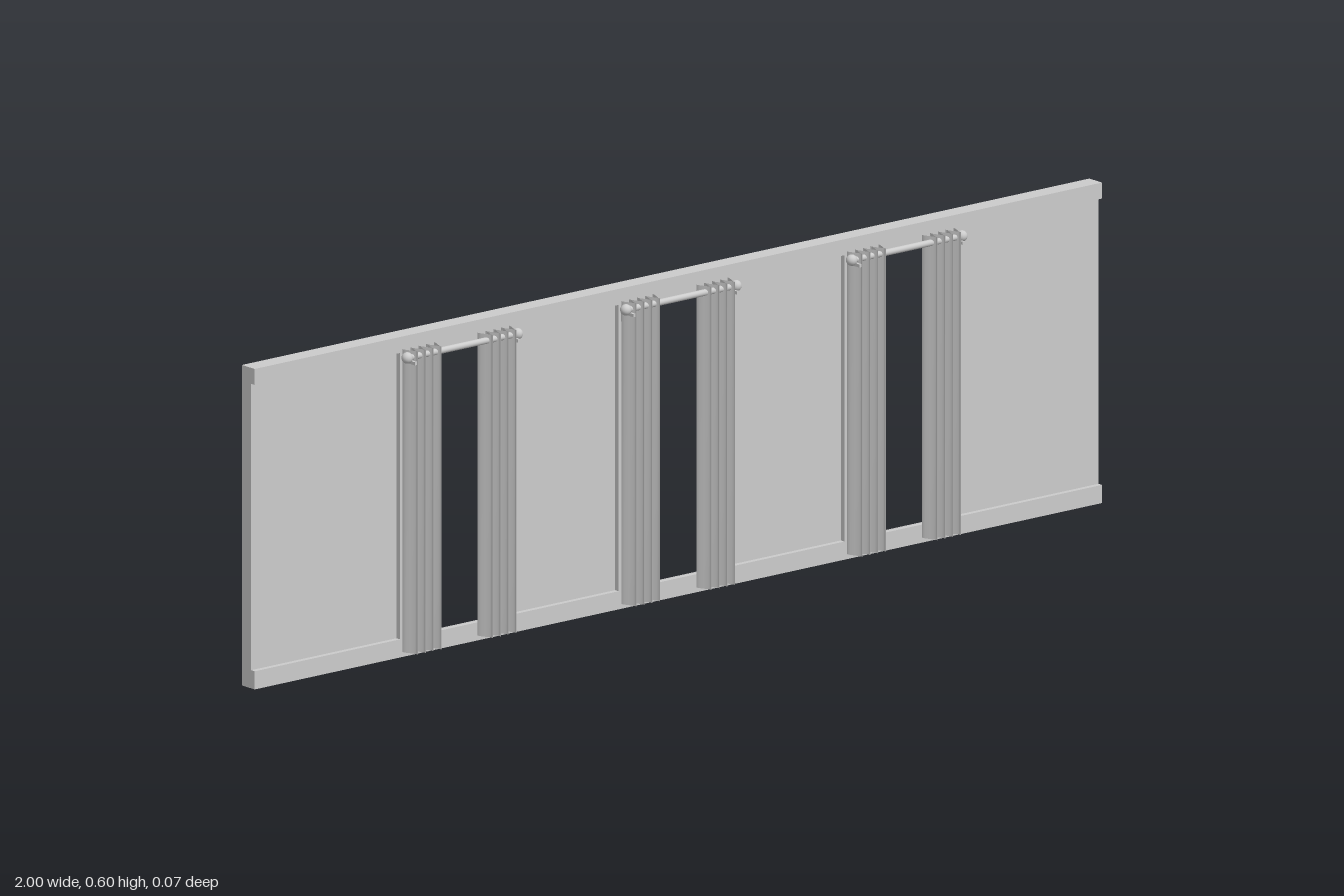
import * as THREE from 'three';

const grey = new THREE.MeshStandardMaterial({ color: 0xcccccc });
const cloth = new THREE.MeshStandardMaterial({ color: 0xcccccc, side: THREE.DoubleSide });

const BACK = -0.036, FACE = -0.01; // wall back and recessed wall face
const windows = [-0.527, -0.011, 0.522]; // window centres
const HALF = 0.115; // half width of each opening
const BASE = 0.034, CROWN = 0.57;

function add(parent, name, geometry, x = 0, y = 0, z = 0, material = grey) {
  const mesh = new THREE.Mesh(geometry, material);
  mesh.name = name;
  mesh.position.set(x, y, z);
  parent.add(mesh);
  return mesh;
}

// Box given by its limits
function block(parent, name, x0, x1, y0, y1, z0, z1) {
  return add(parent, name, new THREE.BoxGeometry(x1 - x0, y1 - y0, z1 - z0),
    (x0 + x1) / 2, (y0 + y1) / 2, (z0 + z1) / 2);
}

// Profile of [z, y] points extruded along x, centred on the parent
function extrudeX(parent, name, points, width) {
  const shape = new THREE.Shape(points.map(([z, y]) => new THREE.Vector2(-z, y)));
  const g = new THREE.ExtrudeGeometry(shape, { depth: width, bevelEnabled: false });
  g.translate(0, 0, -width / 2);
  g.rotateY(Math.PI / 2);
  return add(parent, name, g);
}

// Pleated hanging: a sheet pushed in and out by a wave
function curtain(parent, name, x) {
  const width = 0.074, y0 = 0.01, y1 = 0.577, folds = 4;
  const g = new THREE.PlaneGeometry(width, y1 - y0, folds * 12, 1);
  const p = g.attributes.position;
  for (let i = 0; i < p.count; i++) {
    const t = p.getX(i) / width + 0.5;
    const a = t * folds * Math.PI * 2;
    p.setX(i, p.getX(i) - Math.sin(2 * a) * 0.0022);
    p.setZ(i, 0.018 - Math.cos(a) * 0.016);
  }
  g.computeVertexNormals();
  add(parent, name, g, x, (y0 + y1) / 2, 0, cloth);
}

function windowUnit(cx) {
  const unit = new THREE.Group();
  unit.name = 'window';
  unit.position.x = cx;

  // Sloped reveals above and below the opening
  extrudeX(unit, 'lintel', [[BACK, 0.6], [BACK, 0.594], [FACE, CROWN], [0, CROWN], [0, 0.6]], HALF * 2);
  extrudeX(unit, 'sill', [[BACK, 0], [BACK, 0.026], [FACE, BASE], [0, BASE], [0, 0]], HALF * 2);

  // Casing around the opening
  block(unit, 'casingHead', -0.106, 0.106, 0.56, CROWN, FACE, 0);
  for (const s of [-1, 1]) {
    const side = s < 0 ? 'right' : 'left';
    add(unit, side + 'Casing', new THREE.BoxGeometry(0.024, CROWN - BASE, 0.01),
      s * 0.118, (CROWN + BASE) / 2, -0.005);
    curtain(unit, side + 'Curtain', s * 0.0885);

    // Rod end and bracket
    add(unit, side + 'Finial', new THREE.SphereGeometry(0.0105, 16, 12), s * 0.13, 0.565, 0.02);
    add(unit, side + 'BracketPlate', new THREE.BoxGeometry(0.008, 0.03, 0.002), s * 0.12, 0.553, 0.001);
    add(unit, side + 'BracketArm', new THREE.BoxGeometry(0.005, 0.006, 0.034), s * 0.122, 0.556, 0.018);
  }
  const rod = new THREE.CylinderGeometry(0.006, 0.006, 0.26, 16);
  rod.rotateZ(Math.PI / 2);
  add(unit, 'curtainRod', rod, 0, 0.565, 0.02);
  return unit;
}

export function createModel() {
  const model = new THREE.Group();
  model.name = 'windowedWall';

  // Wall panels with baseboard and crown strips between the openings
  const edges = [-1, ...windows.flatMap((c) => [c - HALF, c + HALF]), 1];
  for (let i = 0; i < edges.length; i += 2) {
    const [a, b] = [edges[i], edges[i + 1]];
    block(model, 'wallPanel', a, b, 0, 0.6, BACK, FACE);
    block(model, 'baseboard', a, b, 0, BASE, FACE, 0);
    block(model, 'crownStrip', a, b, CROWN, 0.6, FACE, 0);
  }
  for (const c of windows) model.add(windowUnit(c));
  return model;
}
